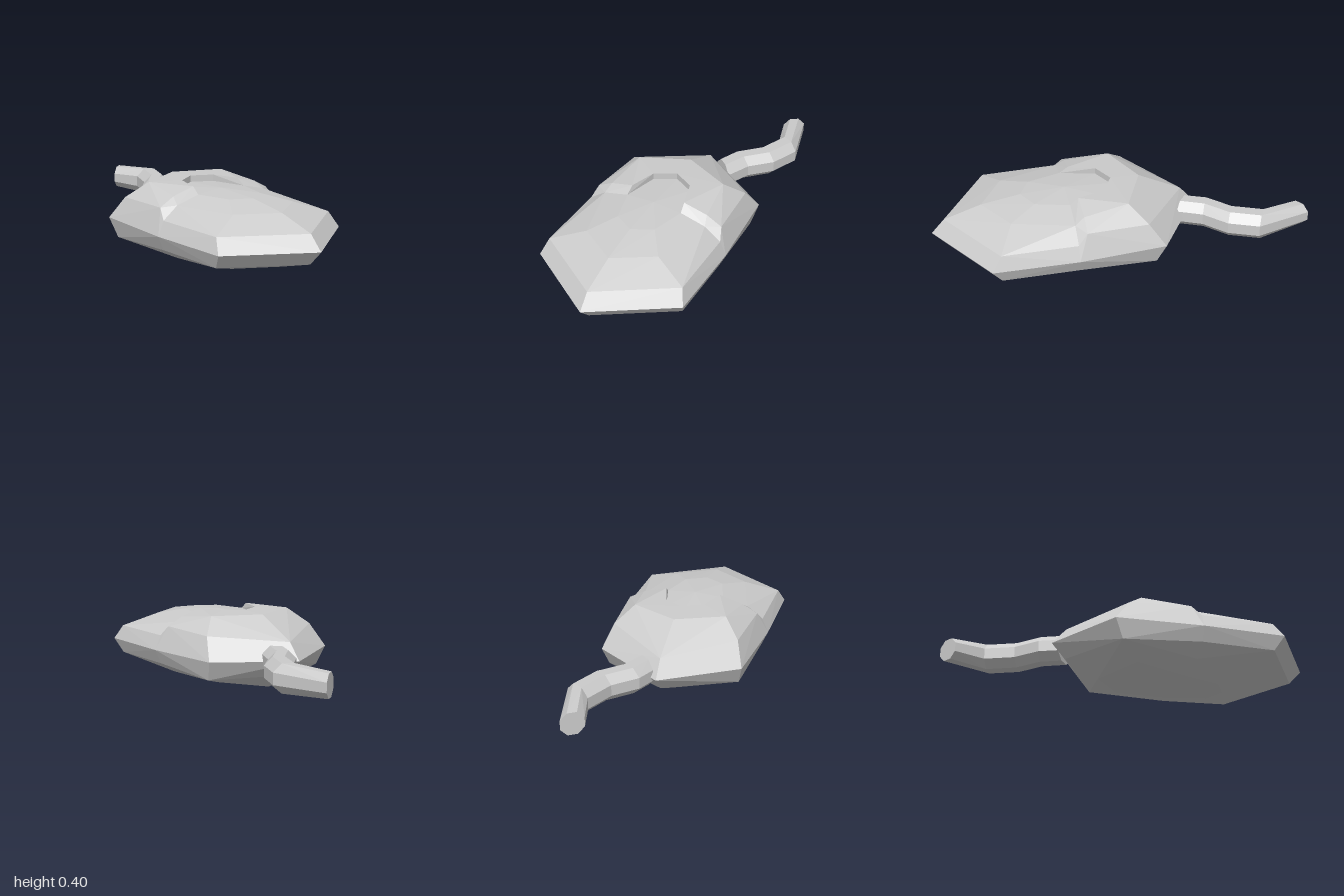
import * as THREE from 'three';

const material = new THREE.MeshStandardMaterial({ color: 0xcccccc, flatShading: true });

// Skins a list of point rows with flat triangles; rows run bottom to top.
// Each quad is split along its convex diagonal, so both sides match.
function loft(name, rows) {
  const out = [];
  const points = rows.map((row) => row.map((p) => new THREE.Vector3(...p)));
  const plane = new THREE.Plane();
  const tri = (...corners) => {
    const [a, b, c] = corners;
    if (a.equals(b) || b.equals(c) || a.equals(c)) return;
    corners.forEach((p) => out.push(p.x, p.y, p.z));
  };
  for (let r = 0; r + 1 < points.length; r++) {
    for (let i = 0; i + 1 < points[r].length; i++) {
      const [a0, a1] = points[r].slice(i, i + 2);
      const [b0, b1] = points[r + 1].slice(i, i + 2);
      plane.setFromCoplanarPoints(a0, b0, b1);
      if (plane.distanceToPoint(a1) <= 0) {
        tri(a0, b0, b1);
        tri(a0, b1, a1);
      } else {
        tri(a0, b0, a1);
        tri(a1, b0, b1);
      }
    }
  }
  const geometry = new THREE.BufferGeometry();
  geometry.setAttribute('position', new THREE.Float32BufferAttribute(out, 3));
  geometry.computeVertexNormals();
  const mesh = new THREE.Mesh(geometry, material);
  mesh.name = name;
  return mesh;
}

const mirror = ([x, y, z]) => [-x, y, z];
// Half ring from side, corner and centre points, mirrored across x = 0.
const frontHalf = ([s, c, m]) => [s, c, m, mirror(c), mirror(s)];
const rearHalf = ([s, c, m]) => [mirror(s), mirror(c), m, c, s];
const apex = (y) => Array(5).fill([0, y, 0.28]);

// Front body: octagonal rings, the same above and below the middle.
function frontBody() {
  const ring = (y, side, cx, cz, mz) =>
    frontHalf([[side, y, 0.28], [cx, y, cz], [0, y, mz]]);
  const sizes = [[0.16, 0.11, 0.46, 0.52], [0.30, 0.21, 0.60, 0.73], [0.39, 0.39, 0.68, 0.93]];
  const low = [0.015, 0.057, 0.115], high = [0.37, 0.335, 0.27];
  return loft('frontBody', [
    apex(0.002),
    ...sizes.map((s, i) => ring(low[i], ...s)),
    ring(0.192, 0.424, 0.42, 0.73, 1.0),
    ...sizes.map((s, i) => ring(high[i], ...s)).reverse(),
    apex(0.383),
  ]);
}

// Rear body: raised shell whose arched notch drops to the recessed deck.
function rearBody() {
  const rings = [
    [[0.16, 0.015, 0.28], [0.11, 0.015, 0.09], [0, 0.015, 0.03]],
    [[0.30, 0.057, 0.28], [0.22, 0.04, -0.02], [0, 0.015, -0.18]],
    [[0.39, 0.115, 0.28], [0.365, 0.09, -0.14], [0, 0.11, -0.36]],
    [[0.424, 0.192, 0.28], [0.39, 0.195, -0.185], [0, 0.195, -0.437]],
    [[0.37, 0.325, 0.23], [0.345, 0.315, -0.10], [0, 0.285, -0.36]],
    [[0.285, 0.37, 0.23], [0.255, 0.40, -0.01], [0, 0.40, -0.125]],
    [[0.155, 0.405, 0.235], [0.11, 0.405, 0.09], [0, 0.405, 0.03]],
    [[0.16, 0.37, 0.28], [0.11, 0.37, 0.09], [0, 0.37, 0.03]],
  ];
  return loft('rearShell', [apex(0.002), ...rings.map(rearHalf), apex(0.383)]);
}

// Sloped step joining the front body to the raised shell, one per side.
function step(left) {
  const lower = [[0.424, 0.192, 0.28], [0.39, 0.27, 0.28], [0.30, 0.335, 0.28], [0.16, 0.37, 0.28]];
  const upper = [[0.424, 0.192, 0.28], [0.37, 0.325, 0.23], [0.285, 0.37, 0.23], [0.155, 0.405, 0.235]];
  const rows = [lower, upper];
  return left ? loft('leftStep', rows)
    : loft('rightStep', rows.map((row) => row.map(mirror).reverse()));
}

// Bent eight-sided cable with closed ends.
function cable() {
  // x, z, radius, direction of the cross-section's sideways axis (x, z)
  const stations = [
    [0.085, -0.35, 0.08, 0.10, 0.08],
    [0.135, -0.465, 0.08, 0.13, 0.06],
    [0.245, -0.575, 0.08, 0.12, 0.06],
    [0.31, -0.73, 0.08, 0.12, 0.06],
    [0.246, -0.963, 0.066, 0.095, -0.065],
  ];
  const rows = stations.map(([x, z, r, sx, sz]) => {
    const len = Math.hypot(sx, sz);
    return Array.from({ length: 9 }, (_, i) => {
      const a = (i + 0.5) * Math.PI / 4;
      const d = r * Math.cos(a);
      return [x + d * sx / len, 0.2 + r * Math.sin(a), z + d * sz / len];
    });
  });
  const cap = ([x, z]) => Array(9).fill([x, 0.2, z]);
  return loft('cable', [cap(stations[0]), ...rows, cap(stations[4])]);
}

export function createModel() {
  const group = new THREE.Group();
  group.name = 'mouse';
  group.add(frontBody(), rearBody(), step(true), step(false), cable());
  return group;
}
